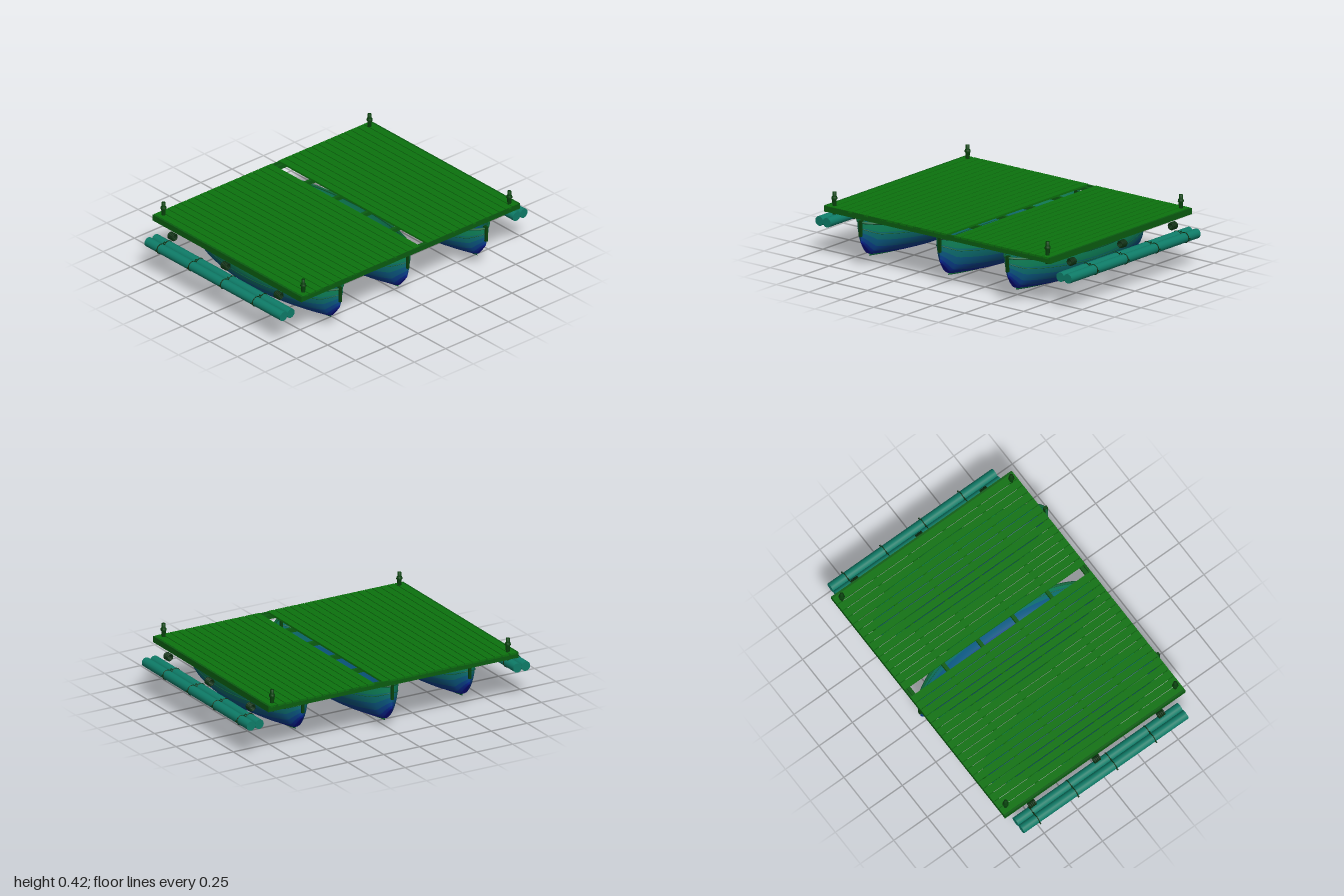
import * as THREE from 'three';

const mat = (color, side = THREE.FrontSide) => new THREE.MeshStandardMaterial({ color, side });
const deckMat = mat(0x0c720e), beamMat = mat(0x0a5c10), darkMat = mat(0x07420c);
const logMat = mat(0x0e7c68), ropeMat = mat(0x0a3010), railMat = mat(0x0c6438);

function add(parent, name, geometry, material, x = 0, y = 0, z = 0) {
  const mesh = new THREE.Mesh(geometry, material);
  mesh.name = name;
  mesh.position.set(x, y, z);
  parent.add(mesh);
  return mesh;
}
const box = (parent, name, material, w, h, d, x, y, z) =>
  add(parent, name, new THREE.BoxGeometry(w, h, d), material, x, y, z);

// Double-ended hull: rounded sections between a keel line and a sheer line
function createBoat(name, halfBeam, halfLength, keelDepth) {
  const boat = new THREE.Group();
  boat.name = name;
  const beamAt = t => halfBeam * Math.pow(Math.max(0, 1 - t * t), 0.6);
  const keelAt = t => keelDepth + 0.05 * t * t + 0.075 * Math.max(0, (Math.abs(t) - 0.89) / 0.11);
  const sheerAt = t => 0.252 + 0.033 * t * t;

  const stations = 48, rows = 24;
  const pos = [];
  for (let i = 0; i <= stations; i++) {
    const t = -Math.cos(Math.PI * i / stations);
    const k = keelAt(t), s = sheerAt(t), b = beamAt(t);
    for (let j = 0; j <= rows; j++) {
      const a = Math.PI * (j / rows - 0.5);
      pos.push(b * Math.sin(a), k + (s - k) * (1 - Math.cos(a)), t * halfLength);
    }
  }
  const quads = (from, to) => {
    const index = [];
    for (let i = 0; i < stations; i++) {
      for (let j = from; j < to; j++) {
        const a = i * (rows + 1) + j, b = a + rows + 1;
        index.push(a, a + 1, b, a + 1, b + 1, b);
      }
    }
    return index;
  };
  const whole = new THREE.BufferGeometry();
  whole.setAttribute('position', new THREE.Float32BufferAttribute(pos, 3));
  whole.setIndex(quads(0, rows));
  whole.computeVertexNormals();

  // Strakes share the hull's vertices and shade from teal at the rim to blue at the keel
  const half = rows / 2, strakes = 6;
  for (let n = 0; n < strakes; n++) {
    const from = n * half / strakes, to = (n + 1) * half / strakes;
    const height = 1 - Math.cos(Math.PI / 2 * (1 - (n + 0.5) / strakes));
    const color = new THREE.Color(0x08089a).lerp(new THREE.Color(0x0d8058), Math.min(1, height * 1.15));
    const strake = whole.clone();
    strake.setIndex([...quads(from, to), ...quads(rows - to, rows - from)]);
    add(boat, 'hullStrake', strake, mat(color, THREE.DoubleSide));
  }

  // Gunwale and lower rubbing strip
  for (const side of [-1, 1]) {
    for (const [angle, radius] of [[Math.PI / 2, 0.008], [1.25, 0.003]]) {
      const points = [];
      for (let i = 0; i <= 32; i++) {
        const t = -Math.cos(Math.PI * i / 32), k = keelAt(t);
        points.push(new THREE.Vector3(side * beamAt(t) * Math.sin(angle),
          k + (sheerAt(t) - k) * (1 - Math.cos(angle)), t * halfLength));
      }
      const path = new THREE.CatmullRomCurve3(points);
      add(boat, radius > 0.005 ? 'gunwale' : 'rubbingStrip',
        new THREE.TubeGeometry(path, 64, radius, 6), railMat);
    }
  }

  // Keel
  const line = [];
  for (let i = 0; i <= 24; i++) {
    const t = (i / 12 - 1) * 0.89;
    line.push(new THREE.Vector3(0, keelAt(t) - 0.003, t * halfLength));
  }
  add(boat, 'keel', new THREE.TubeGeometry(new THREE.CatmullRomCurve3(line), 48, 0.007, 6), railMat);

  // Stem and stern posts
  for (const end of [-1, 1]) {
    box(boat, end > 0 ? 'stemPost' : 'sternPost', darkMat, 0.018, 0.1, 0.024, 0, 0.248, end * halfLength);
  }
  return boat;
}

export function createModel() {
  const model = new THREE.Group();
  model.name = 'raft';

  // Three boats under the deck
  const boats = [
    ['rightBoat', 0.217, 0.64, 0.032, -0.575, 0.02],
    ['middleBoat', 0.225, 0.648, 0.01, 0, -0.03],
    ['leftBoat', 0.208, 0.635, 0.04, 0.572, 0.045],
  ];
  for (const [name, beam, length, depth, x, z] of boats) {
    const boat = createBoat(name, beam, length, depth);
    boat.position.set(x, 0, z);
    model.add(boat);
  }

  // Deck planks, with one left out
  const deck = new THREE.Group();
  deck.name = 'deck';
  model.add(deck);
  const count = 33, pitch = 1.724 / count, midZ = -0.024;
  for (let i = 0; i < count; i++) {
    if (i === 18) continue;
    box(deck, 'plank', deckMat, pitch - 0.006, 0.012, 1.346, -0.862 + (i + 0.5) * pitch, 0.328, midZ);
  }

  // Cross beams and edge beams
  for (let i = 0; i < 6; i++) {
    box(deck, 'crossBeam', beamMat, 1.72, 0.026, 0.022, 0, 0.309, -0.668 + i * 0.258);
  }
  for (const side of [-1, 1]) {
    box(deck, 'sideBeam', beamMat, 0.014, 0.038, 1.346, side * 0.865, 0.314, midZ);
    box(deck, 'endBeam', beamMat, 1.73, 0.034, 0.014, 0, 0.314, midZ + side * 0.666);
  }

  // Corner mooring posts
  const profile = [[0, 0.28], [0.012, 0.28], [0.012, 0.335], [0.014, 0.37], [0.019, 0.375],
    [0.017, 0.388], [0.012, 0.392], [0.012, 0.418], [0, 0.418]].map(p => new THREE.Vector2(...p));
  for (const x of [-0.822, 0.822]) {
    for (const z of [-0.655, 0.61]) add(deck, 'cornerPost', new THREE.LatheGeometry(profile, 12), darkMat, x, 0, z);
  }

  // Paired side logs with straps and rope coils
  for (const side of [-1, 1]) {
    const floats = new THREE.Group();
    floats.name = side > 0 ? 'leftFloats' : 'rightFloats';
    model.add(floats);
    for (const x of [0.9, 0.958]) {
      add(floats, 'log', new THREE.CylinderGeometry(0.03, 0.03, 1.226, 16), logMat, side * x, 0.205, -0.026)
        .rotation.x = Math.PI / 2;
    }
    for (const z of [-0.525, -0.24, 0.05, 0.34]) {
      for (const x of [0.9, 0.958]) {
        add(floats, 'strap', new THREE.TorusGeometry(0.031, 0.003, 6, 20), ropeMat, side * x, 0.205, z);
      }
      const tie = add(floats, 'strapTie', new THREE.TorusGeometry(0.036, 0.003, 6, 4), ropeMat, side * 0.929, 0.205, z);
      tie.scale.x = 0.8;
      box(floats, 'strapPin', ropeMat, 0.014, 0.006, 0.008, side * 0.993, 0.205, z);
    }
    for (const z of [-0.505, -0.025, 0.455]) {
      for (let i = 0; i < 4; i++) {
        add(floats, 'ropeCoil', new THREE.TorusGeometry(0.019, 0.0055, 6, 16), ropeMat,
          side * 0.882, 0.269, z + (i - 1.5) * 0.0115);
      }
    }
  }
  return model;
}
